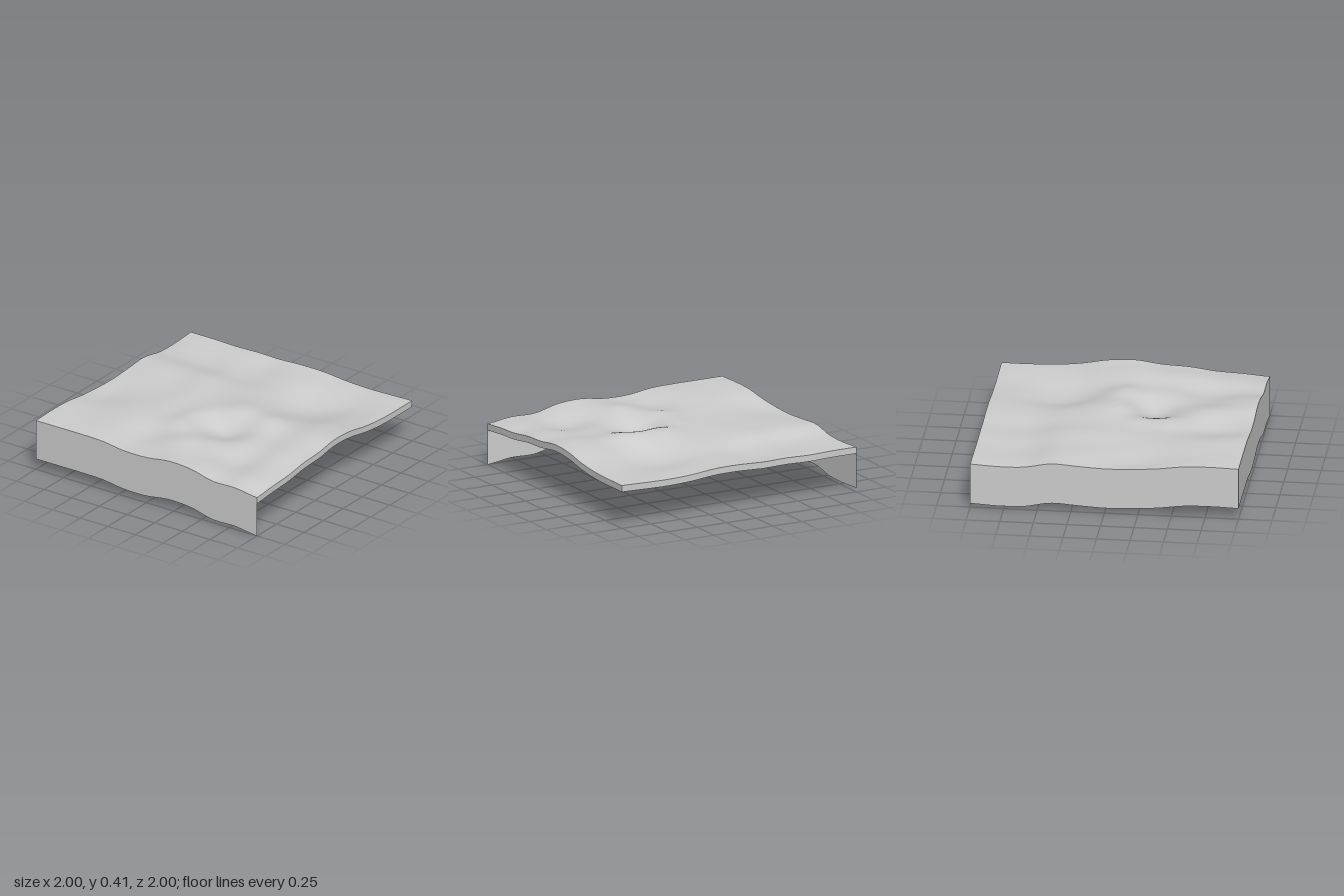
import * as THREE from 'three';

const SEGMENTS = 72;
const TALL = 0.315; // drop of the back and left walls
const THIN = 0.05;  // drop of the front and right rims

// Edge heights, sampled evenly from -1 to 1
const back = [0.40, 0.405, 0.40, 0.375, 0.36, 0.355, 0.365, 0.375, 0.34, 0.335, 0.345];
const front = [0.315, 0.33, 0.34, 0.365, 0.375, 0.40, 0.39, 0.355, 0.335, 0.33, 0.33];
const west = [0.40, 0.40, 0.40, 0.395, 0.37, 0.37, 0.395, 0.385, 0.34, 0.34, 0.315];
const east = [0.345, 0.345, 0.34, 0.345, 0.342, 0.35, 0.348, 0.33, 0.322, 0.325, 0.33];

// Inner hollows and crests: x, z, radius, height change
const features = [
  [-0.25, 0.2, 0.2, -0.085],
  [-0.6, 0.42, 0.24, -0.05],
  [0.4, 0.4, 0.3, -0.07],
  [-0.38, -0.12, 0.14, 0.028],
  [-0.18, -0.1, 0.12, 0.02],
  [-0.65, 0.07, 0.14, 0.02],
  [0.0, 0.1, 0.13, 0.02],
  [0.02, 0.42, 0.13, 0.02],
  [-0.7, -0.25, 0.2, -0.025],
  [-0.25, -0.8, 0.2, -0.015],
  [0.6, -0.3, 0.3, -0.01],
];

// Smooth curve through evenly spaced samples, t from 0 to 1
function sample(values, t) {
  const last = values.length - 1;
  const i = Math.min(Math.floor(t * last), last - 1);
  const f = t * last - i;
  const a = values[Math.max(i - 1, 0)], b = values[i];
  const c = values[i + 1], d = values[Math.min(i + 2, last)];
  return b + 0.5 * f * (c - a + f * (2 * a - 5 * b + 4 * c - d + f * (3 * (b - c) + d - a)));
}

// Blend the four edges across the square, then add the inner features
function heightAt(x, z) {
  const u = (x + 1) / 2, v = (z + 1) / 2, mix = THREE.MathUtils.lerp;
  const corners = mix(mix(back[0], back[10], u), mix(front[0], front[10], u), v);
  const base = mix(sample(back, u), sample(front, u), v) + mix(sample(west, v), sample(east, v), u) - corners;
  let detail = 0.004 * Math.sin(7 * x + 4 * z) * Math.sin(9 * z - 3 * x);
  for (const [fx, fz, r, amount] of features) {
    detail += amount * Math.exp(-((x - fx) ** 2 + (z - fz) ** 2) / (r * r));
  }
  const inside = Math.min(1, 5 * (1 - x * x)) * Math.min(1, 5 * (1 - z * z));
  return Math.min(base + detail * inside, 0.405);
}

// Vertical strip hanging from one edge, its lower side following the upper
function makeSkirt(pointAt, drop) {
  const geometry = new THREE.PlaneGeometry(2, 1, SEGMENTS, 1);
  const pos = geometry.attributes.position;
  for (let i = 0; i < pos.count; i++) {
    const [x, z] = pointAt(pos.getX(i));
    pos.setXYZ(i, x, heightAt(x, z) - (pos.getY(i) < 0 ? drop : 0), z);
  }
  geometry.computeVertexNormals();
  return geometry;
}

export function createModel() {
  const group = new THREE.Group();
  group.name = 'terrainTile';
  const stone = new THREE.MeshStandardMaterial({ color: 0xcccccc, side: THREE.DoubleSide });
  stone.name = 'light grey';

  const add = (name, geometry) => {
    const mesh = new THREE.Mesh(geometry, stone);
    mesh.name = name;
    group.add(mesh);
  };

  // Rolling ground surface
  const ground = new THREE.PlaneGeometry(2, 2, SEGMENTS, SEGMENTS);
  ground.rotateX(-Math.PI / 2);
  const pos = ground.attributes.position;
  for (let i = 0; i < pos.count; i++) pos.setY(i, heightAt(pos.getX(i), pos.getZ(i)));
  ground.computeVertexNormals();
  add('ground', ground);

  // Two thin rims and two tall walls, all facing outward
  add('frontRim', makeSkirt((s) => [s, 1], THIN));
  add('leftRim', makeSkirt((s) => [1, -s], THIN));
  add('backWall', makeSkirt((s) => [-s, -1], TALL));
  add('rightWall', makeSkirt((s) => [-1, s], TALL));
  return group;
}
